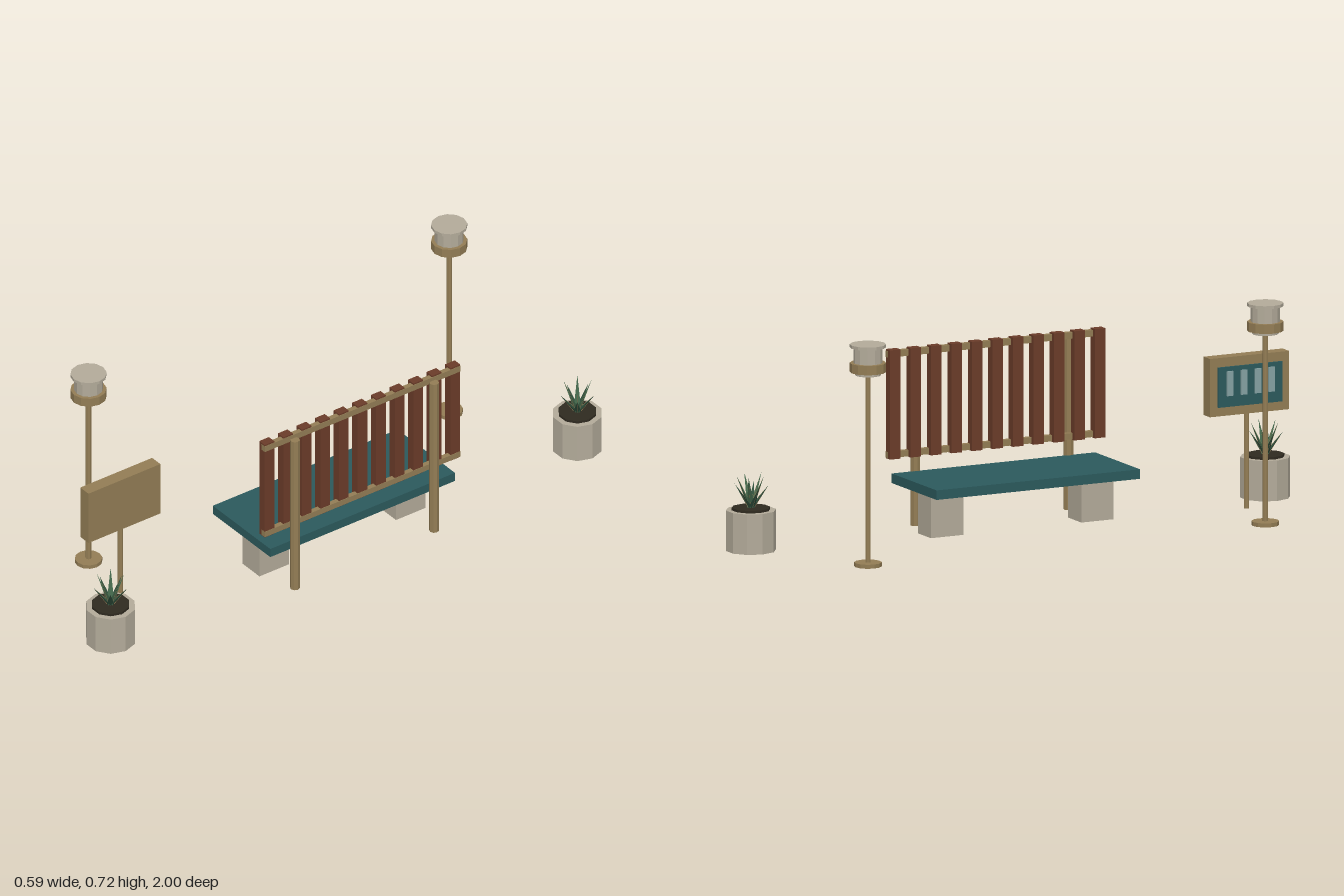
import * as THREE from 'three';

const mat = (name, color) => {
  const m = new THREE.MeshStandardMaterial({ color, flatShading: true });
  m.name = name;
  return m;
};

export function createModel() {
  const concrete = mat('pale concrete', 0xb3ab9a);
  const bronze = mat('bronze', 0x937d55);
  const teal = mat('teal', 0x2c5a5d);
  const timber = mat('red timber', 0x6b3c29);
  const soilMat = mat('dark soil', 0x2f2a20);
  const leafMat = mat('leaf green', 0x42664a);
  const darkLeaf = mat('dark leaf green', 0x2f4f3c);
  const barMat = mat('pale teal', 0x86a3a4);

  const root = new THREE.Group();
  root.name = 'plazaSeating';

  const group = (name, x = 0, z = 0) => {
    const g = new THREE.Group();
    g.name = name;
    g.position.set(x, 0, z);
    root.add(g);
    return g;
  };
  const add = (parent, name, geo, material) => {
    const m = new THREE.Mesh(geo, material);
    m.name = name;
    parent.add(m);
    return m;
  };
  // Box given by its lower and upper limits on each axis
  const box = (parent, name, [x0, x1], [y0, y1], [z0, z1], material) => {
    const m = add(parent, name, new THREE.BoxGeometry(x1 - x0, y1 - y0, z1 - z0), material);
    m.position.set((x0 + x1) / 2, (y0 + y1) / 2, (z0 + z1) / 2);
    return m;
  };
  // Upright cylinder from y0 to y1 with a corner on the x axis
  const drum = (parent, name, r, y0, y1, sides, material) => {
    const geo = new THREE.CylinderGeometry(r, r, y1 - y0, sides).rotateY(Math.PI / 2);
    const m = add(parent, name, geo, material);
    m.position.y = (y0 + y1) / 2;
    return m;
  };

  // Bench: slab on two blocks
  const bench = group('bench');
  box(bench, 'seat', [-0.042, 0.265], [0.147, 0.178], [-0.365, 0.365], teal);
  for (const s of [-1, 1]) {
    box(bench, 'seatBlock', [0.067, 0.157], [0, 0.147], [s * 0.27 - 0.058, s * 0.27 + 0.058], concrete);
  }

  // Slatted backrest with two rails and two posts
  const back = group('backrest');
  for (let i = -5; i <= 5; i++) {
    const z = i * 0.0735;
    box(back, 'slat', [0.235, 0.264], [0.23, 0.584], [z - 0.019, z + 0.019], timber);
  }
  box(back, 'upperRail', [0.248, 0.2655], [0.558, 0.579], [-0.387, 0.387], bronze);
  box(back, 'lowerRail', [0.248, 0.2655], [0.232, 0.252], [-0.387, 0.387], bronze);
  for (const s of [-1, 1]) {
    const post = drum(back, 'backPost', 0.016, 0, 0.566, 8, bronze);
    post.position.x = 0.275;
    post.position.z = s * 0.275;
  }

  // Lamps
  for (const s of [-1, 1]) {
    const lamp = group('lamp', -0.236, s * 0.713);
    drum(lamp, 'lampBase', 0.044, 0, 0.013, 12, bronze);
    drum(lamp, 'lampPole', 0.009, 0.013, 0.62, 8, bronze);
    drum(lamp, 'lampNeck', 0.042, 0.62, 0.63, 12, concrete);
    drum(lamp, 'lampBand', 0.058, 0.63, 0.66, 12, bronze);
    drum(lamp, 'lampShade', 0.0465, 0.66, 0.71, 12, concrete);
    drum(lamp, 'lampCap', 0.058, 0.71, 0.72, 12, concrete);
  }

  // Sign board with a panel and upright bars on its -x face
  const sign = group('sign', 0.03, 0.785);
  drum(sign, 'signPost', 0.009, 0, 0.311, 8, bronze);
  box(sign, 'signBoard', [-0.021, 0.023], [0.311, 0.5], [-0.142, 0.142], bronze);
  box(sign, 'signPanel', [-0.027, -0.021], [0.34, 0.47], [-0.115, 0.115], teal);
  for (let i = 0; i < 4; i++) {
    const z = (i - 1.5) * 0.05;
    box(sign, 'signBar', [-0.033, -0.027], [0.376, 0.456], [z - 0.011, z + 0.011], barMat);
  }

  // Planters with spiky leaves in two alternating tiers
  const blade = (len, width, depth) =>
    new THREE.ConeGeometry(1, 1, 4).translate(0, 0.5, 0).scale(width, len, depth);
  for (const s of [-1, 1]) {
    const planter = group('planter', 0.165, s * 0.9228);
    drum(planter, 'pot', 0.081, 0, 0.131, 10, concrete);
    drum(planter, 'soil', 0.062, 0.131, 0.139, 10, soilMat);
    for (let i = 0; i < 10; i++) {
      const tall = i % 2 === 0;
      const len = tall ? 0.12 : 0.096;
      const leaf = new THREE.Group();
      leaf.name = 'leaf';
      leaf.position.y = 0.134;
      leaf.rotation.order = 'YXZ';
      leaf.rotation.set(tall ? 0.4 : 0.65, (i / 10) * Math.PI * 2 + 0.3, 0);
      add(leaf, 'leafBlade', blade(len, 0.013, 0.006), tall ? leafMat : darkLeaf);
      // Narrow rib along the outer face
      add(leaf, 'leafRib', blade(len * 0.98, 0.002, 0.008), bronze);
      planter.add(leaf);
    }
  }

  return root;
}
